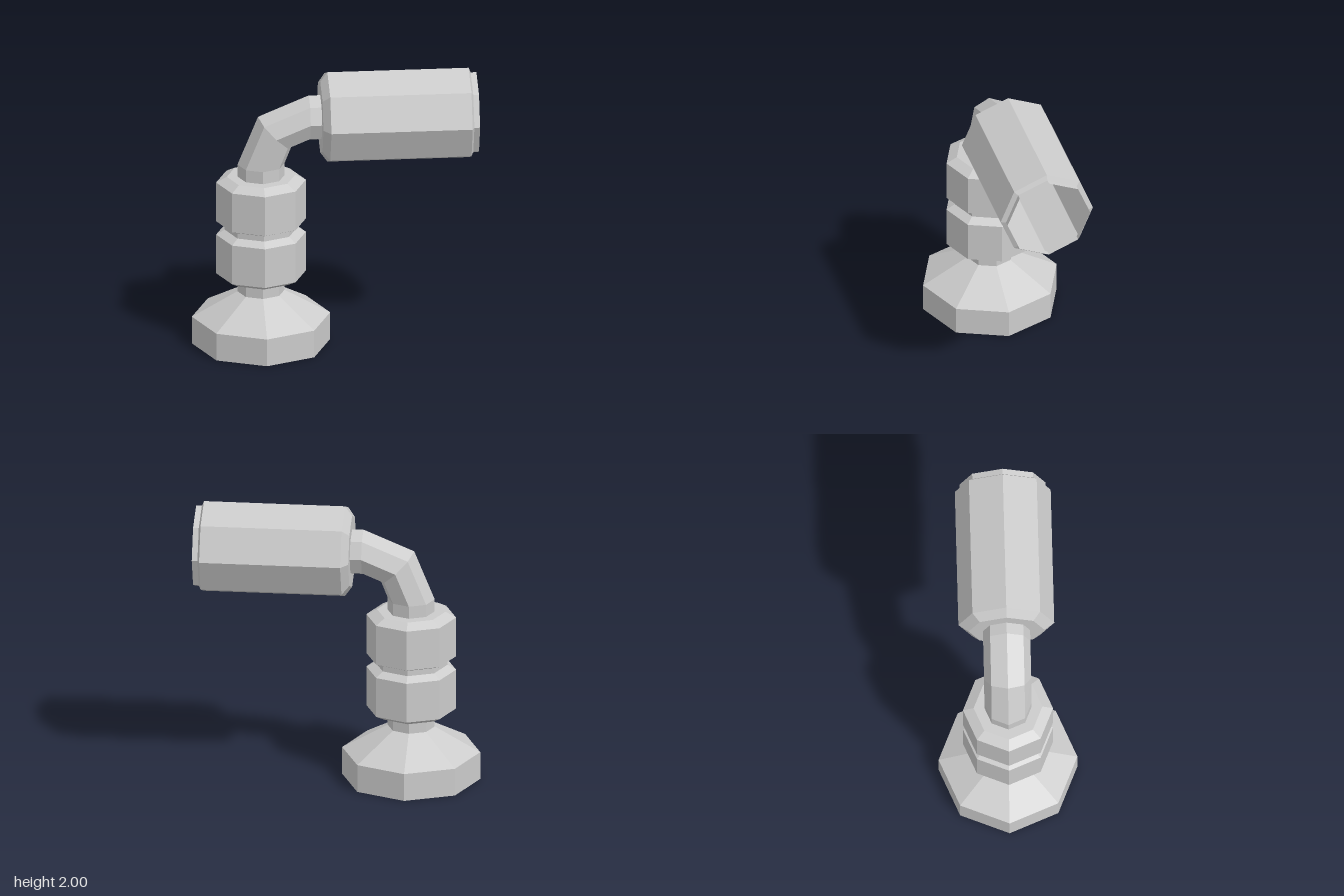
import * as THREE from 'three';

const SIDES = 8;
const AXIS_X = -0.515;   // upright axis of the stem
const AXIS_Y = 1.665;    // horizontal axis of the barrel
const PIPE_R = 0.165;

const material = new THREE.MeshStandardMaterial({
  color: 0xcccccc, flatShading: true, side: THREE.DoubleSide,
});

// Open eight-sided shell turned from [radius, height] pairs
function turned(name, profile) {
  const points = profile.map(([r, h]) => new THREE.Vector2(r, h));
  const mesh = new THREE.Mesh(new THREE.LatheGeometry(points, SIDES), material);
  mesh.name = name;
  return mesh;
}

// Hollow pipe: each row of an open cylinder is moved to a station [x, y, tilt]
function bentPipe(name, stations) {
  const rows = stations.length - 1;
  const geometry = new THREE.CylinderGeometry(PIPE_R, PIPE_R, 1, SIDES, rows, true);
  const pos = geometry.attributes.position;
  for (let i = 0; i < pos.count; i++) {
    const row = Math.round((pos.getY(i) + 0.5) * rows);
    const [cx, cy, tilt] = stations[row];
    const u = pos.getX(i);
    pos.setXY(i, cx + u * Math.cos(tilt), cy - u * Math.sin(tilt));
  }
  geometry.computeVertexNormals();
  const mesh = new THREE.Mesh(geometry, material);
  mesh.name = name;
  return mesh;
}

export function createModel() {
  const model = new THREE.Group();
  model.name = 'bentPipeFitting';

  // Upright parts: hollow flared foot, short neck and two collars
  const stem = new THREE.Group();
  stem.name = 'stem';
  stem.position.x = AXIS_X;
  stem.add(
    turned('foot', [[0.485, 0], [0.485, 0.2], [PIPE_R, 0.38]]),
    turned('neck', [[PIPE_R, 0.38], [PIPE_R, 0.48]]),
    turned('lowerCollar', [[PIPE_R, 0.48], [0.24, 0.48], [0.315, 0.52], [0.315, 0.81], [0.255, 0.845]]),
    turned('groove', [[0.255, 0.845], [0.255, 0.885]]),
    turned('upperCollar', [[0.255, 0.885], [0.315, 0.91], [0.315, 1.2], [0.24, 1.24], [PIPE_R, 1.24]]),
  );
  model.add(stem);

  // Elbow from the upper collar into the back of the barrel
  model.add(bentPipe('elbow', [
    [AXIS_X, 1.24, 0],
    [AXIS_X, 1.33, 0],
    [-0.42, 1.565, Math.PI / 4],
    [-0.18, AXIS_Y, Math.PI / 2],
    [-0.1, AXIS_Y, Math.PI / 2],
  ]));

  // Barrel lying along x, open at its far end
  const barrel = turned('barrel', [
    [PIPE_R, -0.1], [0.265, -0.1], [0.335, -0.05],
    [0.335, 0.94], [0.3, 0.955], [0.3, 0.995],
  ]);
  barrel.rotation.z = -Math.PI / 2;
  barrel.position.y = AXIS_Y;
  model.add(barrel);

  return model;
}
